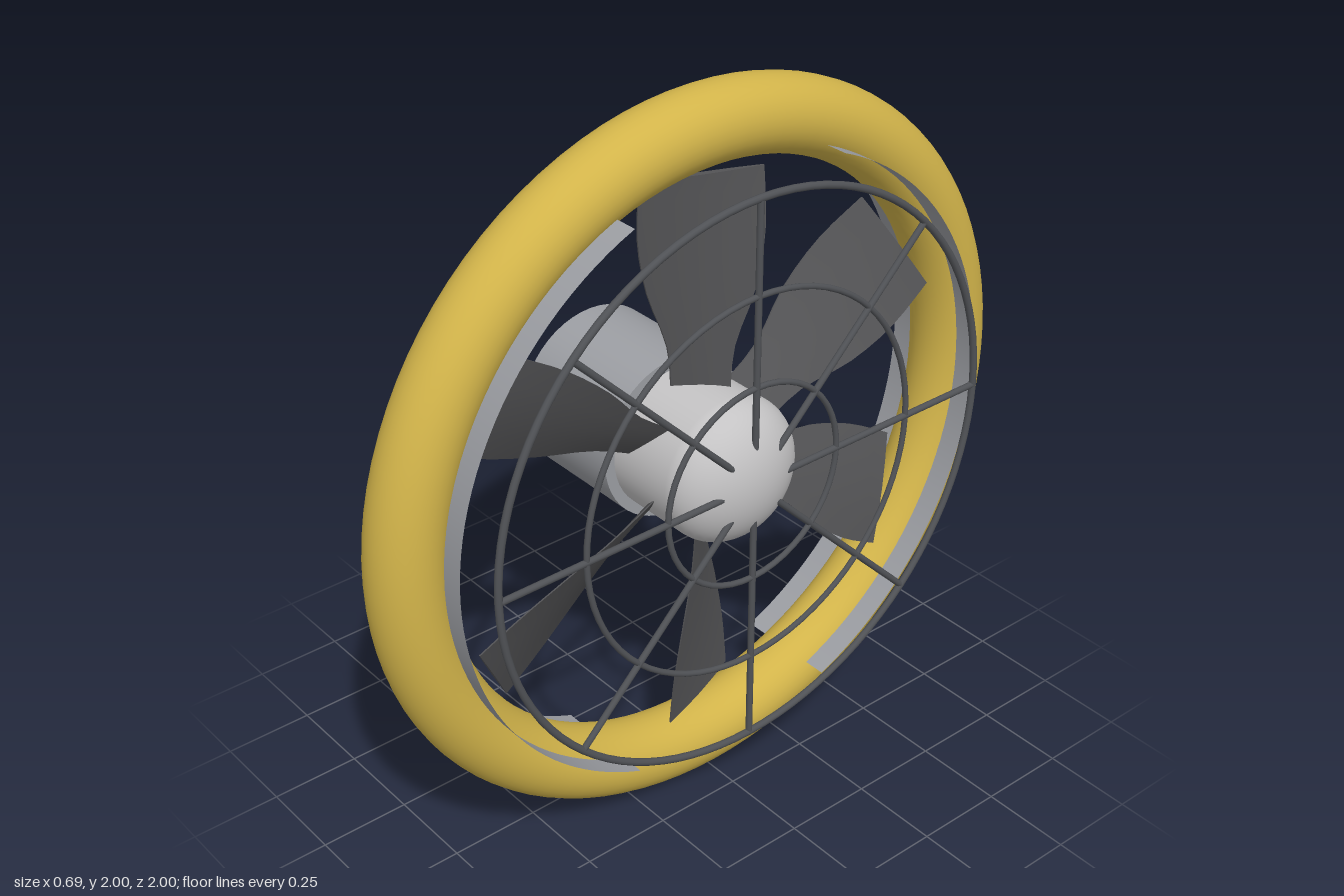
import * as THREE from 'three';

const flat = (name, color, side = THREE.FrontSide) => {
  const m = new THREE.MeshStandardMaterial({ color, side });
  m.name = name;
  return m;
};

// Tapered, twisted blade pointing up from the axis
function bladeGeometry(inner, outer) {
  const widths = new THREE.SplineCurve([
    [0, 0.055], [0.1, 0.067], [0.4, 0.115], [0.72, 0.143], [1, 0.147],
  ].map(([t, w]) => new THREE.Vector2(t, w)));
  const geo = new THREE.BoxGeometry(1, 1, 2, 1, 12, 4);
  const p = geo.attributes.position;
  for (let i = 0; i < p.count; i++) {
    const t = p.getY(i) + 0.5;
    const s = p.getZ(i);
    const pitch = THREE.MathUtils.lerp(0.75, 0.36, t);
    const half = widths.getPoint(t).y;
    const thick = 0.018 * (1 - 0.75 * s * s);
    p.setXYZ(
      i,
      -s * half * Math.tan(pitch) + p.getX(i) * thick,
      THREE.MathUtils.lerp(inner, outer, t),
      s * half,
    );
  }
  geo.computeVertexNormals();
  return geo;
}

export function createModel() {
  const yellow = flat('yellow ring paint', 0xd2b44a);
  const darkGrey = flat('dark blade grey', 0x535355);
  const wire = flat('wire grey', 0x505256);
  const metal = flat('motor grey', 0x9c9ea3);
  const sheet = flat('duct grey', 0x9c9ea3, THREE.DoubleSide);
  sheet.name = 'duct grey';
  const pale = flat('pale hub grey', 0xc4c3c4);

  const model = new THREE.Group();
  model.name = 'ductedFan';
  const fan = new THREE.Group();
  fan.name = 'fan';
  fan.position.y = 1;
  model.add(fan);

  const add = (name, geo, mat, parent = fan) => {
    const mesh = new THREE.Mesh(geo, mat);
    mesh.name = name;
    parent.add(mesh);
    return mesh;
  };
  // Rings and cylinders share the x axis
  const ring = (name, radius, tube, x, mat, sides, segments) =>
    add(name, new THREE.TorusGeometry(radius, tube, sides, segments)
      .rotateY(Math.PI / 2).translate(x, 0, 0), mat);
  const drum = (name, radius, x0, x1, mat) =>
    add(name, new THREE.CylinderGeometry(radius, radius, x1 - x0, 48)
      .rotateZ(-Math.PI / 2).translate((x0 + x1) / 2, 0, 0), mat);

  // Outer ring
  ring('outerRing', 0.9, 0.1, 0.1, yellow, 32, 96);

  // Curved duct plates on both sides, open at top and bottom
  const arc = Math.PI * 0.75;
  for (const side of [1, -1]) {
    const geo = new THREE.CylinderGeometry(0.85, 0.85, 0.3, 48, 1, true, -arc / 2, arc)
      .rotateZ(-Math.PI / 2).translate(0.1, 0, 0);
    if (side < 0) geo.rotateX(Math.PI);
    add(side > 0 ? 'frontDuctPlate' : 'backDuctPlate', geo, sheet);
  }

  // Motor, hub and domed nose
  drum('motor', 0.23, -0.35, 0, metal);
  drum('hub', 0.2, 0, 0.2, pale);
  add('hubNose', new THREE.SphereGeometry(0.2, 48, 16, 0, Math.PI * 2, 0, Math.PI / 2)
    .scale(1, 0.7, 1).rotateZ(-Math.PI / 2).translate(0.2, 0, 0), pale);

  // Six blades
  const blade = bladeGeometry(0.15, 0.775);
  for (let i = 0; i < 6; i++) {
    const b = add('blade', blade, darkGrey);
    b.position.x = 0.1;
    b.rotation.x = (i * Math.PI) / 3;
  }

  // Wire guard: three rings and four bars across the centre
  const guardX = 0.31;
  ring('guardOuterRing', 0.786, 0.01, guardX, wire, 10, 96);
  ring('guardMiddleRing', 0.53, 0.008, guardX, wire, 10, 72);
  ring('guardInnerRing', 0.28, 0.008, guardX, wire, 10, 48);
  const bar = new THREE.CylinderGeometry(0.009, 0.009, 1.57, 10);
  for (let i = 0; i < 4; i++) {
    const b = add('guardBar', bar, wire);
    b.position.x = guardX;
    b.rotation.x = (i * Math.PI) / 4;
  }

  return model;
}
